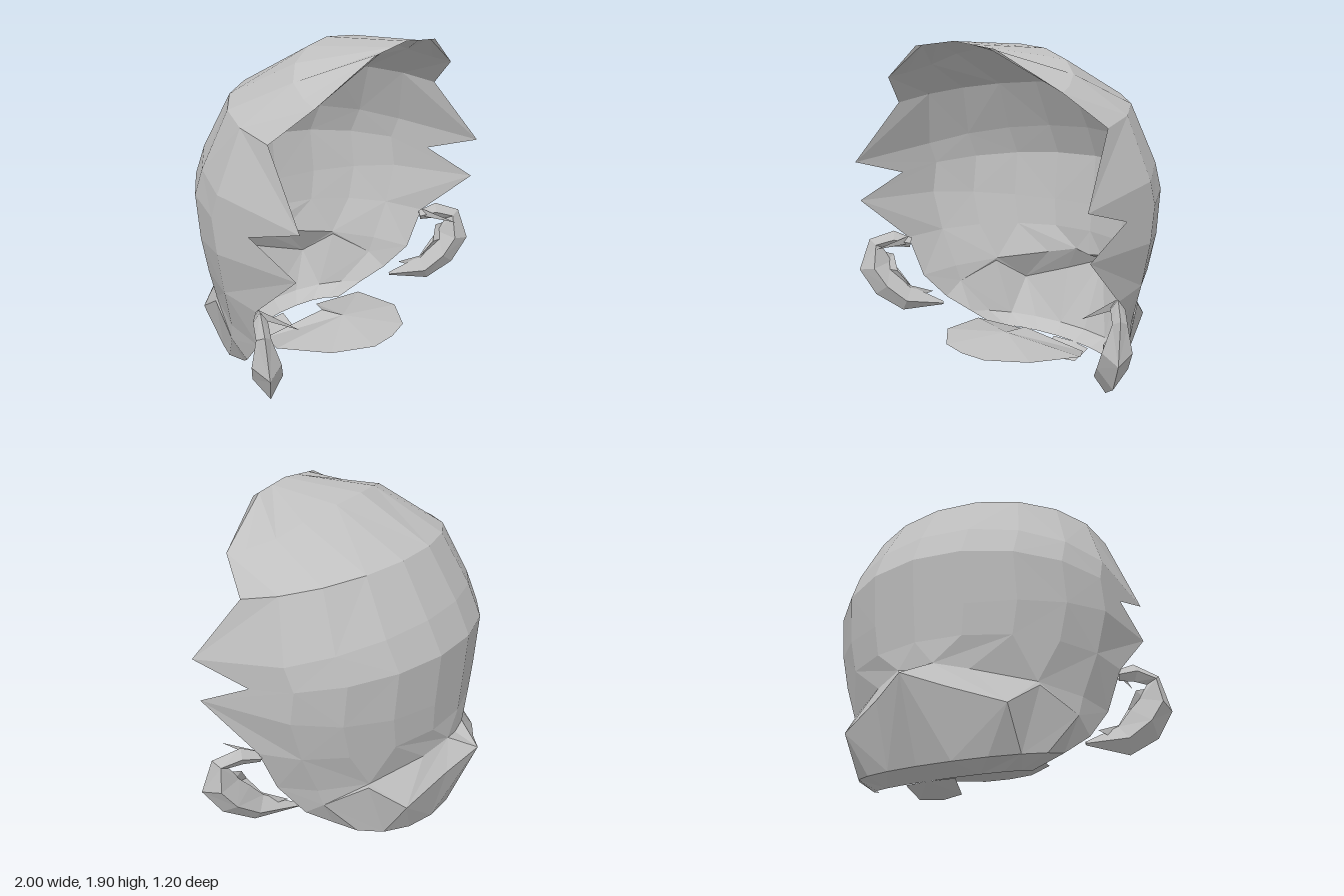
import * as THREE from 'three';

const hairGrey = new THREE.MeshStandardMaterial({ color: 0xc0c0c0, flatShading: true, side: THREE.DoubleSide });
hairGrey.name = 'hair grey';

function meshFrom(name, points, index) {
  const geo = new THREE.BufferGeometry();
  geo.setAttribute('position', new THREE.Float32BufferAttribute(points.flat(), 3));
  geo.setIndex(index);
  const flat = geo.toNonIndexed();
  flat.computeVertexNormals();
  const mesh = new THREE.Mesh(flat, hairGrey);
  mesh.name = name;
  return mesh;
}

// Triangles joining rows of equal length, with alternating diagonals
function gridIndex(rows, cols) {
  const index = [];
  for (let r = 0; r < rows - 1; r++) {
    for (let c = 0; c < cols - 1; c++) {
      const a = r * cols + c, b = a + 1, d = a + cols, e = d + 1;
      if ((r + c) % 2) index.push(a, d, e, a, e, b);
      else index.push(a, d, b, b, d, e);
    }
  }
  return index;
}

// Half a row of the shell: a quarter ellipse from the back middle to the hairline
const HALF = 5;
function arch(backY, backZ, x, y, z, tipZ = z, tipX = x) {
  const row = [];
  for (let i = 0; i < HALF; i++) {
    const t = (i / HALF) * Math.PI / 2, k = Math.cos(t);
    row.push([x * Math.sin(t), y + (backY - y) * k, z + (backZ - z) * k]);
  }
  return [...row, [tipX, y, tipZ]];
}

// Hair shell: mirrored rows from the fringe over the crown and down to the nape
function hairShell() {
  const rows = [
    // fringe and crown
    [0, 0.06, 0.12, 0.18, 0.24, 0.29].map((x) => [x, 1.9 - 0.1 * x, 0.585]),
    [[0, 1.875, 0.12], [0.2, 1.86, 0.15], [0.4, 1.815, 0.22], [0.52, 1.755, 0.3], [0.6, 1.71, 0.42], [0.64, 1.69, 0.51]],
    arch(1.65, -0.27, 0.77, 1.53, 0.35),
    arch(1.38, -0.43, 0.87, 1.2, 0.32, 0.6), // upper temple spike
    arch(1.2, -0.51, 0.867, 1.1, 0.29, 0.29, 0.845),
    arch(0.9, -0.485, 0.87, 0.97, 0.32, 0.58), // lower temple spike
    arch(0.74, -0.47, 0.81, 0.7, 0.29),
    // fold above the nape, and the pointed lip that flares out below it
    [[0, 0.59, -0.46], [0.1, 0.61, -0.46], [0.27, 0.57, -0.39], [0.55, 0.51, -0.21], [0.69, 0.48, 0.02], [0.74, 0.46, 0.24]],
    [[0, 0.53, -0.6], [0.2, 0.455, -0.5], [0.47, 0.36, -0.39], [0.56, 0.49, -0.21], [0.67, 0.38, 0], [0.68, 0.3, 0.11]],
    arch(0.11, -0.43, 0.58, 0.2, 0),
    arch(0.06, -0.33, 0.45, 0.11, -0.09),
  ];
  const points = rows.flatMap((row) => [
    ...row.slice(1).reverse().map(([x, y, z]) => [-x, y, z]),
    ...row,
  ]);
  return meshFrom('hairShell', points, gridIndex(rows.length, HALF * 2 + 1));
}

// Curled side lock: tapering four-sided strand, [x, y, z, radius]
const CURL = [
  [0.79, 0.67, 0.29, 0.03],
  [0.86, 0.695, 0.36, 0.05],
  [0.935, 0.665, 0.44, 0.05],
  [0.935, 0.53, 0.455, 0.1],
  [0.875, 0.42, 0.41, 0.105],
  [0.78, 0.325, 0.34, 0.08],
  [0.63, 0.29, 0.18, 0.01],
];

function sideCurl(side) {
  const flatAxis = new THREE.Vector3(0.75, 0, -0.66);
  const at = (i) => new THREE.Vector3(...CURL[Math.min(Math.max(i, 0), CURL.length - 1)].slice(0, 3));
  const points = [];
  CURL.forEach((node, i) => {
    const dir = at(i + 1).sub(at(i - 1)).normalize();
    const across = dir.cross(flatAxis).normalize();
    for (let j = 0; j <= 4; j++) {
      const a = j * Math.PI / 2;
      const p = at(i).addScaledVector(across, node[3] * Math.cos(a))
        .addScaledVector(flatAxis, node[3] * 0.7 * Math.sin(a));
      points.push([p.x * side, p.y, p.z]);
    }
  });
  return meshFrom('sideCurl', points, gridIndex(CURL.length, 5));
}

// Broad leaf lining the inside of each curl
function innerLeaf(side) {
  const points = [
    [0.93, 0.62, 0.43], [0.86, 0.6, 0.37],
    [0.92, 0.51, 0.43], [0.8, 0.51, 0.39],
    [0.86, 0.41, 0.4], [0.76, 0.41, 0.33],
    [0.76, 0.32, 0.32], [0.69, 0.36, 0.21],
  ];
  return meshFrom('innerLeaf', points.map(([x, y, z]) => [x * side, y, z]), gridIndex(4, 2));
}

// Thin pointed wisp above each curl
function wisp(side) {
  return meshFrom('templeWisp', [[0.79 * side, 0.68, 0.54], [0.8 * side, 0.71, 0.3], [0.8 * side, 0.66, 0.28]], [0, 1, 2]);
}

// Chin tuft: shallow plate fanned round its raised centre
function chinTuft() {
  const halfRim = [[0.15, 0.28, 0.56], [0.33, 0.27, 0.4], [0.41, 0.225, 0.09], [0.25, 0.14, -0.12]];
  const rim = [[0, 0.28, 0.58], ...halfRim, [0, 0.285, 0.1],
    ...halfRim.map(([x, y, z]) => [-x, y, z]).reverse()];
  const index = [];
  for (let i = 0; i < rim.length; i++) index.push(0, i + 1, ((i + 1) % rim.length) + 1);
  return meshFrom('chinTuft', [[0, 0.3, 0.25], ...rim], index);
}

// Small lock hanging under the nape
function napeLock() {
  const points = [[-0.14, 0.065, -0.3], [0, 0.06, -0.33], [0.14, 0.065, -0.3],
    [-0.12, 0.01, -0.2], [0, 0, -0.18], [0.12, 0.01, -0.2]];
  return meshFrom('napeLock', points, gridIndex(2, 3));
}

export function createModel() {
  const model = new THREE.Group();
  model.name = 'hair';
  model.add(hairShell(), chinTuft(), napeLock());
  for (const side of [1, -1]) {
    const lock = new THREE.Group();
    lock.name = side > 0 ? 'leftSideLock' : 'rightSideLock';
    lock.add(sideCurl(side), innerLeaf(side), wisp(side));
    model.add(lock);
  }
  return model;
}
